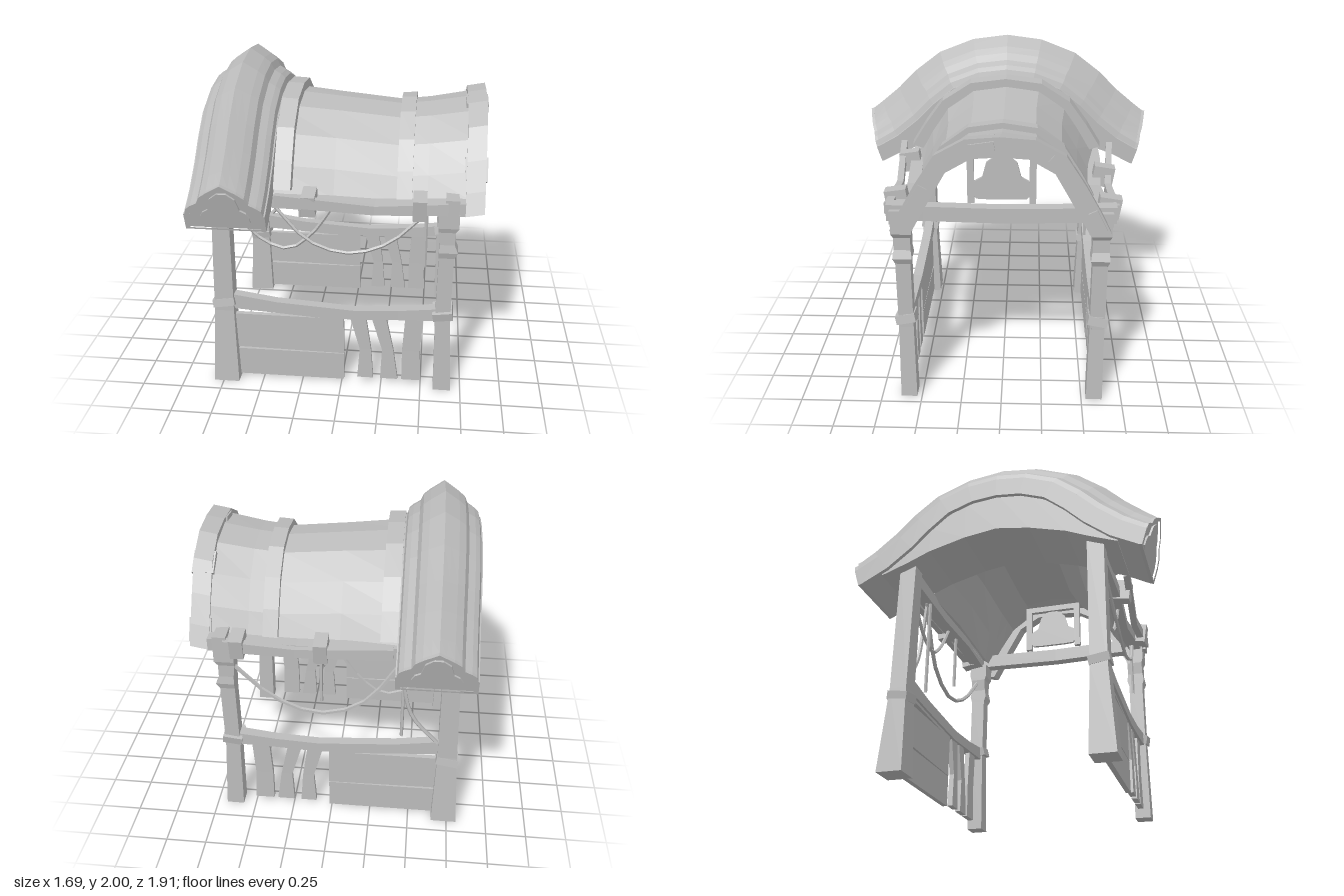
import * as THREE from 'three';

const wood = new THREE.MeshStandardMaterial({ color: 0xbcbcbc, flatShading: true });
wood.name = 'pale grey';

// Closed skin over equally sized rings, capped at both ends
function loft(name, rings) {
  const tris = [], n = rings[0].length;
  for (let i = 0; i < rings.length - 1; i++) for (let j = 0; j < n; j++) {
    const a = rings[i][j], b = rings[i][(j + 1) % n], c = rings[i + 1][(j + 1) % n], d = rings[i + 1][j];
    tris.push([a, b, c], [a, c, d]);
  }
  for (const [ring, flip] of [[rings[0], true], [rings[rings.length - 1], false]]) {
    const mid = ring.reduce((s, p) => s.add(p), new THREE.Vector3()).divideScalar(n);
    for (let j = 0; j < n; j++) {
      const a = ring[j], b = ring[(j + 1) % n];
      tris.push(flip ? [mid, b, a] : [mid, a, b]);
    }
  }
  // Signed volume decides which way the faces must turn
  const cross = new THREE.Vector3();
  const volume = tris.reduce((s, [a, b, c]) => s + a.dot(cross.crossVectors(b, c)), 0);
  const points = tris.flatMap(([a, b, c]) => (volume < 0 ? [a, c, b] : [a, b, c]));
  const geo = new THREE.BufferGeometry().setFromPoints(points);
  geo.computeVertexNormals();
  const mesh = new THREE.Mesh(geo, wood);
  mesh.name = name;
  return mesh;
}

// Bent timber: stations [t, a, b, sizeA, sizeB]; a and b are the other two axes in xyz order
function timber(name, axis, stations) {
  const place = { x: (t, a, b) => [t, a, b], y: (t, a, b) => [a, t, b], z: (t, a, b) => [a, b, t] }[axis];
  return loft(name, stations.map(([t, a, b, sa, sb]) => [[-1, -1], [1, -1], [1, 1], [-1, 1]].map(
    ([u, v]) => new THREE.Vector3(...place(t, a + u * sa / 2, b + v * sb / 2)))));
}

function box(name, size, pos, rot = [0, 0, 0]) {
  const m = new THREE.Mesh(new THREE.BoxGeometry(...size), wood);
  m.name = name;
  m.position.set(...pos);
  m.rotation.set(...rot);
  return m;
}

const mirrored = (half, flip) => [...half.slice(1).reverse().map(flip), ...half];

// Curved sheet over a half profile [z, y]; stations along x are [x, widthScale, lift]
function vault(name, half, stations, thick) {
  const profile = mirrored(half, ([z, y]) => [-z, y]);
  return loft(name, profile.map(([z, y]) => {
    const len = Math.hypot(z, y - 1.1);
    const at = (t) => stations.map(([x, s, lift]) => new THREE.Vector3(
      x, y + lift - t * (y - 1.1) / len, z * s - t * z / len));
    return [...at(0), ...at(thick).reverse()];
  }));
}

function rope(name, pts, r = 0.011) {
  const curve = new THREE.CatmullRomCurve3(pts.map((p) => new THREE.Vector3(...p)));
  const m = new THREE.Mesh(new THREE.TubeGeometry(curve, 10, r, 5), wood);
  m.name = name;
  return m;
}

export function createModel() {
  const model = new THREE.Group();
  model.name = 'coveredStall';
  const add = (...m) => model.add(...m);

  // Great arch: lobed section [halfWidth, height 0..1] swept over inner and outer curves
  const lobes = [[0, 1], [0.04, 0.92], [0.085, 0.83], [0.125, 0.73], [0.145, 0.6], [0.185, 0.53], [0.212, 0.46], [0.222, 0.35], [0.23, 0.34], [0.23, 0]];
  const section = mirrored(lobes, ([u, h]) => [-u, h]);
  const ribs = [ // inner z, y, outer z, y
    [0, 1.66, 0, 2], [0.15, 1.645, 0.23, 1.97], [0.30, 1.59, 0.46, 1.88], [0.42, 1.49, 0.63, 1.75],
    [0.53, 1.38, 0.75, 1.63], [0.68, 1.26, 0.87, 1.53], [0.84, 1.175, 0.935, 1.48]];
  const archX = -0.62;
  add(loft('greatArch', mirrored(ribs, ([a, b, c, d]) => [-a, b, -c, d]).map(([iz, iy, oz, oy]) =>
    section.map(([u, h]) => new THREE.Vector3(archX + u, iy + (oy - iy) * h, iz + (oz - iz) * h)))));

  // Gable filling below the great arch: [z, bottom, top]
  const gable = [[0, 1.44, 1.68], [0.2, 1.41, 1.65], [0.42, 1.35, 1.51], [0.56, 1.29, 1.38], [0.72, 1.23, 1.27]];
  add(timber('gable', 'z', mirrored(gable, ([z, lo, hi]) => [-z, lo, hi]).map(
    ([z, lo, hi]) => [z, archX, (lo + hi) / 2, 0.41, hi - lo])));

  // Rims and lobed plugs at the ends of the great arch
  const outline = (k) => section.map(([u, h]) => new THREE.Vector2(u * k, 0.32 * h * k + 0.1 * (1 - k)));
  const rim = new THREE.Shape(outline(1.0));
  rim.holes.push(new THREE.Path(outline(0.88)));
  const plug = new THREE.Shape();
  plug.moveTo(-0.07, 0.02);
  plug.bezierCurveTo(-0.17, 0.0, -0.16, 0.12, -0.09, 0.14);
  plug.bezierCurveTo(-0.09, 0.3, 0.09, 0.3, 0.09, 0.14);
  plug.bezierCurveTo(0.16, 0.12, 0.17, 0.0, 0.07, 0.02);
  const plate = (name, shape, depth) => {
    const m = new THREE.Mesh(new THREE.ExtrudeGeometry(shape, { depth, bevelEnabled: false, curveSegments: 5 }), wood);
    m.name = name;
    return m;
  };
  for (const s of [1, -1]) {
    const end = new THREE.Group(), tilt = new THREE.Group();
    end.name = 'archEnd';
    tilt.add(plate('archRim', rim, 0.02), plate('archPlug', plug, 0.012));
    tilt.position.set(0, 1.175, 0.84);
    tilt.rotation.x = 0.3;
    end.add(tilt);
    end.position.x = archX;
    end.rotation.y = s > 0 ? 0 : Math.PI;
    add(end);
  }

  // Sagging barrel roof with its bands
  const roof = [[0, 1.71], [0.2, 1.68], [0.36, 1.56], [0.46, 1.4], [0.54, 1.25]];
  add(vault('barrelRoof', roof, [[-0.42, 1.1, 0.035], [-0.05, 1.0, 0], [0.32, 0.97, -0.035], [0.5, 1.0, -0.015], [0.76, 1.07, 0.03]], 0.04));
  add(vault('rearBand', roof, [[-0.39, 1.17, 0.08], [-0.29, 1.16, 0.075]], 0.08));
  add(vault('middleBand', roof, [[0.32, 1.01, 0.005], [0.41, 1.02, 0.01]], 0.06));
  add(vault('endRing', [[0, 1.78], [0.19, 1.765], [0.36, 1.67], [0.47, 1.5], [0.56, 1.34], [0.62, 1.22]],
    [[0.72, 1, -0.02], [0.83, 1, 0]], 0.115));
  for (const [z, y, turn] of [[0.1, 1.72, 0.15], [-0.33, 1.62, -0.7], [0.46, 1.43, 1.05], [-0.54, 1.29, -1.1]])
    add(box('ringClip', [0.13, 0.14, 0.055], [0.775, y, z], [turn + Math.PI / 2, 0, 0]));

  // Ornament hung in its frame behind the end ring
  const frameX = 0.55;
  for (const s of [1, -1]) add(box('ornamentPost', [0.03, 0.33, 0.04], [frameX, 1.445, s * 0.18]));
  add(box('ornamentTop', [0.03, 0.04, 0.4], [frameX, 1.6, 0]));
  const ornament = plate('ornament', plug, 0.02);
  ornament.scale.set(1.25, 1.15, 1);
  ornament.position.set(frameX - 0.01, 1.28, 0);
  ornament.rotation.y = Math.PI / 2;
  add(ornament);

  // Cross beam under the end ring
  add(timber('crossBeam', 'z', [[-0.66, 0.645, 1.265, 0.08, 0.1], [-0.45, 0.645, 1.26, 0.07, 0.09], [0, 0.645, 1.25, 0.07, 0.09],
    [0.45, 0.645, 1.26, 0.07, 0.09], [0.66, 0.645, 1.265, 0.08, 0.1]]));

  for (const s of [1, -1]) {
    const z = s * 0.58;
    // Posts
    add(timber('rearPost', 'y', [[0, -0.73, s * 0.59, 0.16, 0.15], [0.5, -0.725, z, 0.12, 0.1], [1.32, -0.71, z, 0.1, 0.1]]));
    add(timber('frontPost', 'y', [[0, 0.635, z, 0.11, 0.1], [0.5, 0.62, z, 0.09, 0.09], [0.93, 0.625, z, 0.09, 0.09],
      [0.97, 0.635, z, 0.11, 0.115], [1.02, 0.625, z, 0.09, 0.1], [1.1, 0.62, z, 0.1, 0.1], [1.13, 0.63, z, 0.12, 0.12], [1.22, 0.63, z, 0.12, 0.12]]));
    add(box('frontKnot', [0.12, 0.055, 0.12], [0.62, 0.545, z], [s * 0.2, 0, 0.15]));
    add(box('rearKnot', [0.135, 0.05, 0.12], [-0.725, s > 0 ? 0.55 : 0.46, z], [s * -0.15, 0, 0.15]));

    // Eave beams and clamps
    add(timber('eaveBeam', 'x', [[-0.74, 1.26, z, 0.08, 0.08], [-0.2, 1.24, s * 0.585, 0.07, 0.08], [0.2, 1.22, s * 0.56, 0.06, 0.08], [0.72, 1.25, s * 0.6, 0.08, 0.08]]));
    add(timber('outerRail', 'x', [[-0.37, 1.295, s * 0.695, 0.07, 0.04], [0.2, 1.235, s * 0.645, 0.055, 0.04], [0.62, 1.265, s * 0.655, 0.07, 0.05]]));
    for (const x of s > 0 ? [-0.18, 0.46] : [0.05, 0.54])
      add(box('railClamp', [0.08, 0.13, 0.13], [x, 1.26, s * 0.625], [s * 0.15, 0, 0]));

    // Low rail
    add(timber('lowRail', 'x', [[-0.7, 0.565, z, 0.09, 0.06], [-0.4, 0.53, z, 0.07, 0.06], [0.08, 0.5, z, 0.065, 0.06],
      [0.35, 0.515, z, 0.065, 0.06], [0.67, 0.54, z, 0.09, 0.07]]));

    // Wall boards
    for (const [y0, h0, y1, h1] of [[0.11, 0.19, 0.11, 0.19], [0.34, 0.24, 0.335, 0.25], [0.525, 0.05, 0.475, 0.05]])
      add(timber('wallBoard', 'x', [[-0.7, y0, z, h0, 0.03], [0.015, y1, z, h1, 0.03]]));

    // Crooked pickets
    for (const [top, knee, foot] of [[[0.1, 0.1], [0.15, 0.07], [0.15, 0.1]], [[0.23, 0.09], [0.29, 0.07], [0.3, 0.11]], [[0.45, 0.11], [0.435, 0.11], [0.44, 0.12]]])
      add(timber('picket', 'y', [[0.04, foot[0], z, foot[1], 0.035], [0.25, knee[0], z, knee[1], 0.03], [0.49, top[0], z, top[1], 0.03]]));

    // Draped rope beside the great arch
    add(rope('shortRope', [[-0.65, 1.19, z], [-0.5, 1.0, z], [-0.32, 0.93, z], [-0.17, 1.04, z], [-0.06, 1.2, z]]));
  }

  // Other ropes and hanging ends
  add(rope('longRope', [[-0.4, 1.21, 0.58], [-0.2, 1.0, 0.6], [0.04, 0.925, 0.6], [0.28, 1.0, 0.6], [0.5, 1.2, 0.58]]));
  add(rope('deepRope', [[-0.45, 1.21, -0.58], [-0.2, 0.87, -0.6], [0.07, 0.77, -0.6], [0.35, 0.87, -0.6], [0.62, 1.12, -0.59]], 0.013));
  add(rope('sideRope', [[-0.44, 1.22, -0.58], [-0.44, 1.0, -0.6], [-0.5, 0.78, -0.6], [-0.66, 0.59, -0.6]], 0.013));
  for (const [x, y, z] of [[0.06, 0.84, -0.57], [0.5, 0.84, 0.57], [-0.435, 0.6, -0.56]])
    add(rope('hangingRope', [[x, y, z], [x, (y + 1.22) / 2, z], [x, 1.22, z]]));

  return model;
}
